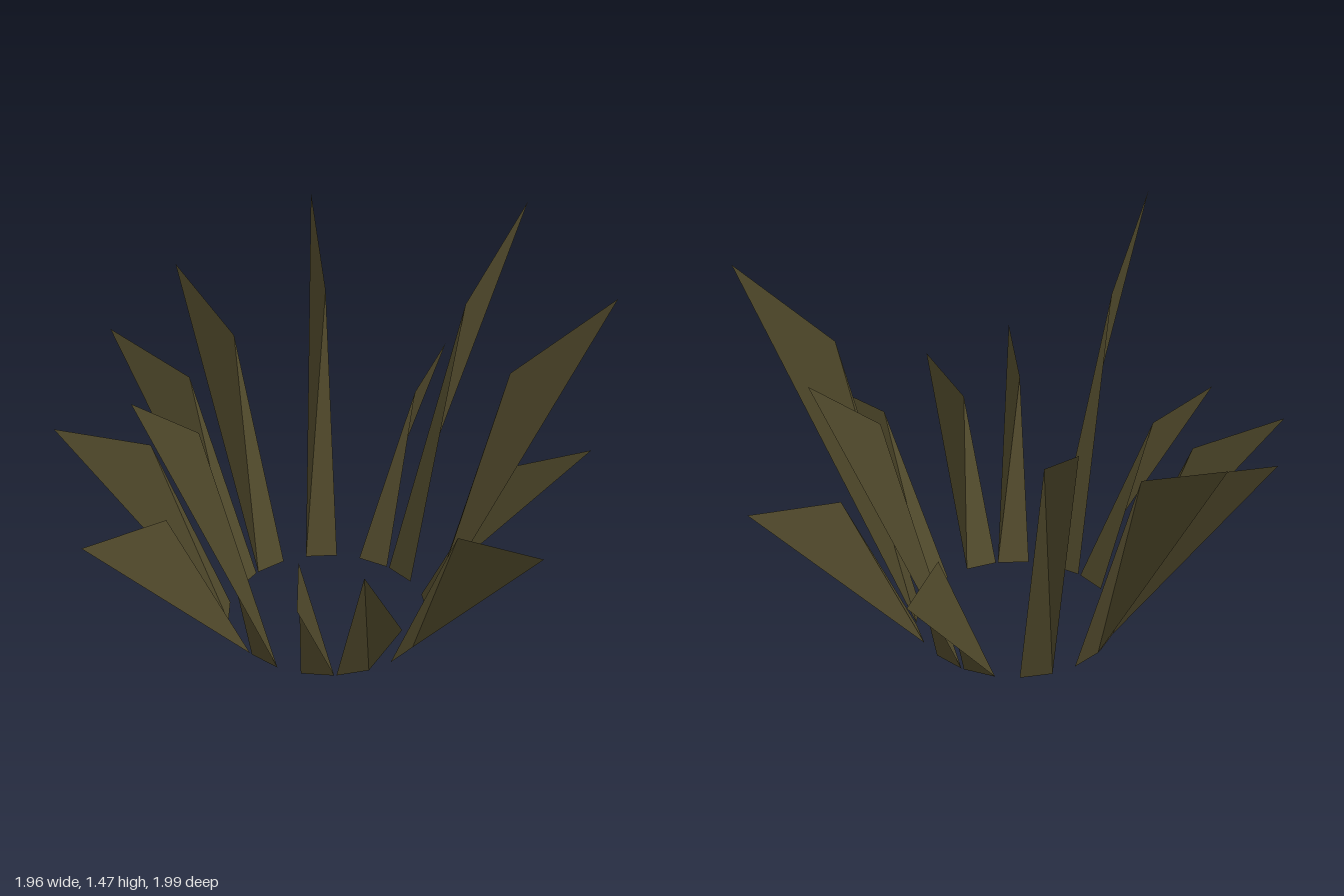
import * as THREE from 'three';

// Each blade: [heading in degrees clockwise from the back, tip height, bend height]
const BLADES = [
  [0, 0.70, 0.66], [20.2, 1.43, 1.13], [52.7, 0.645, 0.62], [72.6, 1.47, 1.16],
  [104.8, 0.74, 0.68], [137.5, 0.66, 0.63], [157.3, 0.755, 0.70], [189.9, 1.41, 1.12],
  [210, 0.67, 0.645], [242.6, 0.82, 0.735], [274.9, 0.945, 0.825], [295, 1.095, 0.92],
  [327.7, 1.31, 1.06],
];
const BASE_RADIUS = 0.38, TIP_RADIUS = 1.0, HALF_WIDTH = 0.062, BEND = 0.44;

// A folded blade pointing to -z: a lower triangle and a tip triangle sharing the fold
function bladeGeometry(tipHeight, bendHeight) {
  const left = new THREE.Vector3(-HALF_WIDTH, 0, -BASE_RADIUS);
  const right = new THREE.Vector3(HALF_WIDTH, 0, -BASE_RADIUS);
  const tip = new THREE.Vector3(0, tipHeight, -TIP_RADIUS);
  const bend = right.clone().lerp(tip, BEND).setY(bendHeight);
  const geometry = new THREE.BufferGeometry().setFromPoints([left, right, bend, left, bend, tip]);
  geometry.computeVertexNormals();
  return geometry;
}

export function createModel() {
  const grass = new THREE.MeshStandardMaterial({ color: 0x50492b });
  grass.name = 'dry olive grass';
  grass.side = THREE.DoubleSide;

  const tuft = new THREE.Group();
  tuft.name = 'grassTuft';
  BLADES.forEach(([heading, tipHeight, bendHeight], i) => {
    const blade = new THREE.Mesh(bladeGeometry(tipHeight, bendHeight), grass);
    blade.name = `grassBlade${i + 1}`;
    blade.rotation.y = -THREE.MathUtils.degToRad(heading);
    blade.position.set(0.012, 0, 0.005); // ring centre
    tuft.add(blade);
  });
  return tuft;
}
